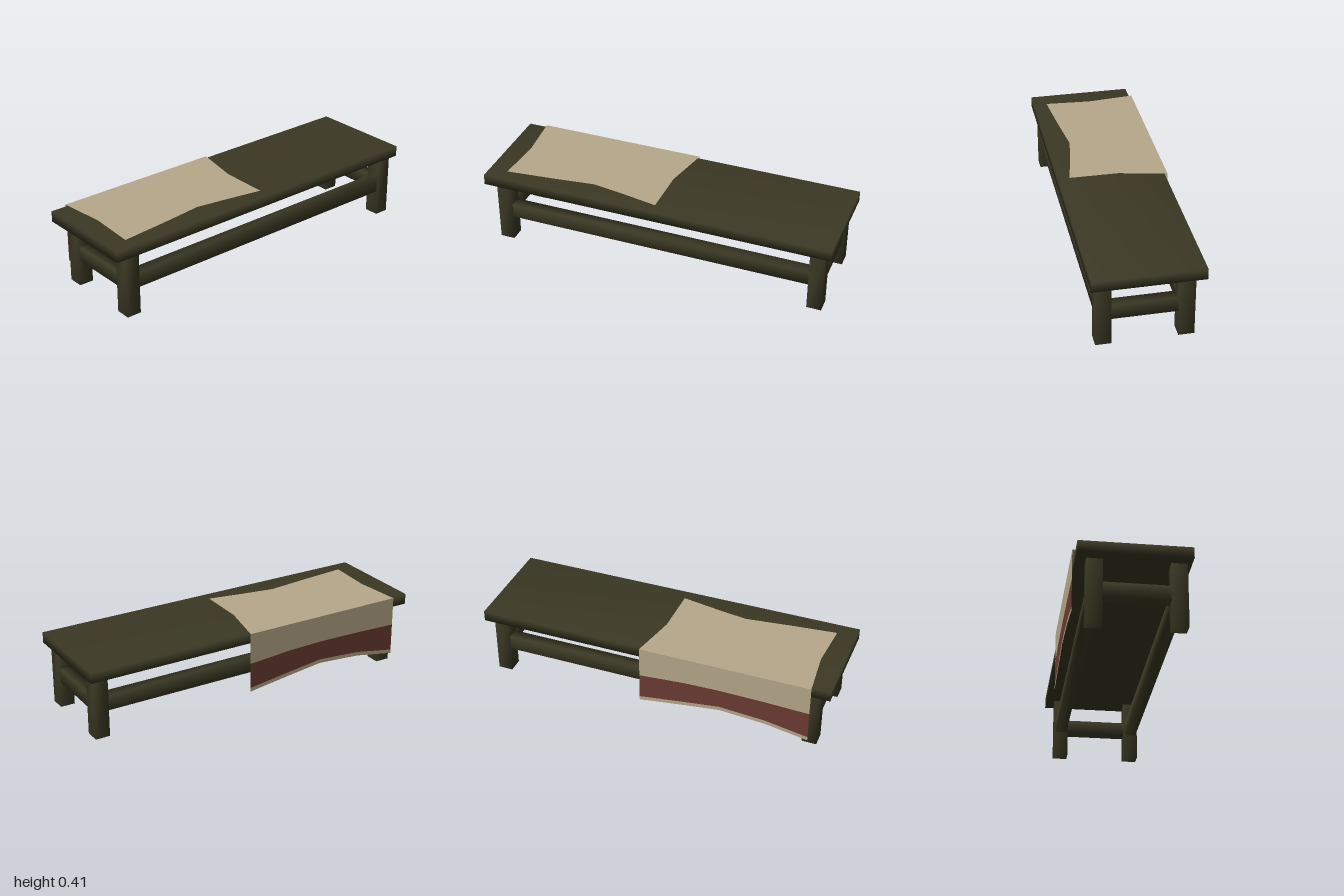
import * as THREE from 'three';
import { mergeVertices } from 'three/addons/utils/BufferGeometryUtils.js';

const wood = new THREE.MeshStandardMaterial({ color: 0x3b3924 });
wood.name = 'dark wood';
const linen = new THREE.MeshStandardMaterial({ color: 0xb8a88a, side: THREE.DoubleSide });
linen.name = 'linen';
const russet = new THREE.MeshStandardMaterial({ color: 0x6c3d33, side: THREE.DoubleSide });
russet.name = 'russet band';

// Box between two corners, with normals shared across its edges
function beam(name, x0, x1, y0, y1, z0, z1) {
  let geo = new THREE.BoxGeometry(x1 - x0, y1 - y0, z1 - z0);
  geo.deleteAttribute('normal');
  geo.deleteAttribute('uv');
  geo = mergeVertices(geo);
  geo.computeVertexNormals();
  const mesh = new THREE.Mesh(geo, wood);
  mesh.name = name;
  mesh.position.set((x0 + x1) / 2, (y0 + y1) / 2, (z0 + z1) / 2);
  return mesh;
}

// Sheet between two rows of points; the front is to the left of travel from a to b
function strip(name, a, b, material) {
  const index = [];
  const n = a.length;
  for (let i = 0; i < n - 1; i++) {
    index.push(i, n + i, i + 1, i + 1, n + i, n + i + 1);
  }
  const geo = new THREE.BufferGeometry();
  geo.setAttribute('position', new THREE.Float32BufferAttribute([...a, ...b].flat(), 3));
  geo.setIndex(index);
  geo.computeVertexNormals();
  const mesh = new THREE.Mesh(geo, material);
  mesh.name = name;
  return mesh;
}

export function createModel() {
  const model = new THREE.Group();
  model.name = 'lowTable';

  // Table top
  model.add(beam('tableTop', -1, 1, 0.353, 0.413, -0.287, 0.303));

  // Four square legs
  const legX = [[-0.935, -0.853], [0.883, 0.965]];
  const legZ = [[-0.237, -0.152], [0.195, 0.28]];
  for (const [x0, x1] of legX) {
    for (const [z0, z1] of legZ) model.add(beam('leg', x0, x1, 0, 0.354, z0, z1));
  }

  // Rails between the legs
  for (const [z0, z1] of legZ) {
    model.add(beam('longRail', -0.853, 0.883, 0.145, 0.228, z0 + 0.01, z1 - 0.01));
  }
  for (const [x0, x1] of legX) {
    model.add(beam('sideRail', x0 + 0.01, x1 - 0.01, 0.145, 0.228, -0.152, 0.195));
  }

  // Cloth lying on the top: back, middle and front rows
  const cloth = new THREE.Group();
  cloth.name = 'cloth';
  const y = 0.4145, back = -0.303;
  const xs = [-0.9, -0.66, -0.4, -0.2, 0.06];
  const backRow = xs.map((x) => [x, y, back]);
  const middleRow = [-0.875, -0.64, -0.4, -0.2, 0.003].map((x) => [x, y, -0.035]);
  const frontX = [-0.893, -0.64, -0.385, -0.2, 0];
  const frontZ = [0.225, 0.2, 0.17, 0.2, 0.237];
  const frontRow = frontX.map((x, i) => [x, y, frontZ[i]]);
  cloth.add(strip('clothTopBack', backRow, middleRow, linen));
  cloth.add(strip('clothTopFront', middleRow, frontRow, linen));

  // Cloth hanging down behind, with a coloured band above the hem
  const hem = [0.07, 0.112, 0.13, 0.105, 0.07];
  const bandTop = [0.25, 0.258, 0.262, 0.257, 0.238];
  const hang = (ys) => xs.map((x, i) => [x, ys[i], back]);
  const bandRow = hang(bandTop);
  const bandEnd = hang(hem.map((h) => h + 0.022));
  cloth.add(strip('clothDrop', bandRow, backRow, linen));
  cloth.add(strip('clothBand', bandEnd, bandRow, russet));
  cloth.add(strip('clothHem', hang(hem), bandEnd, linen));
  model.add(cloth);

  return model;
}
